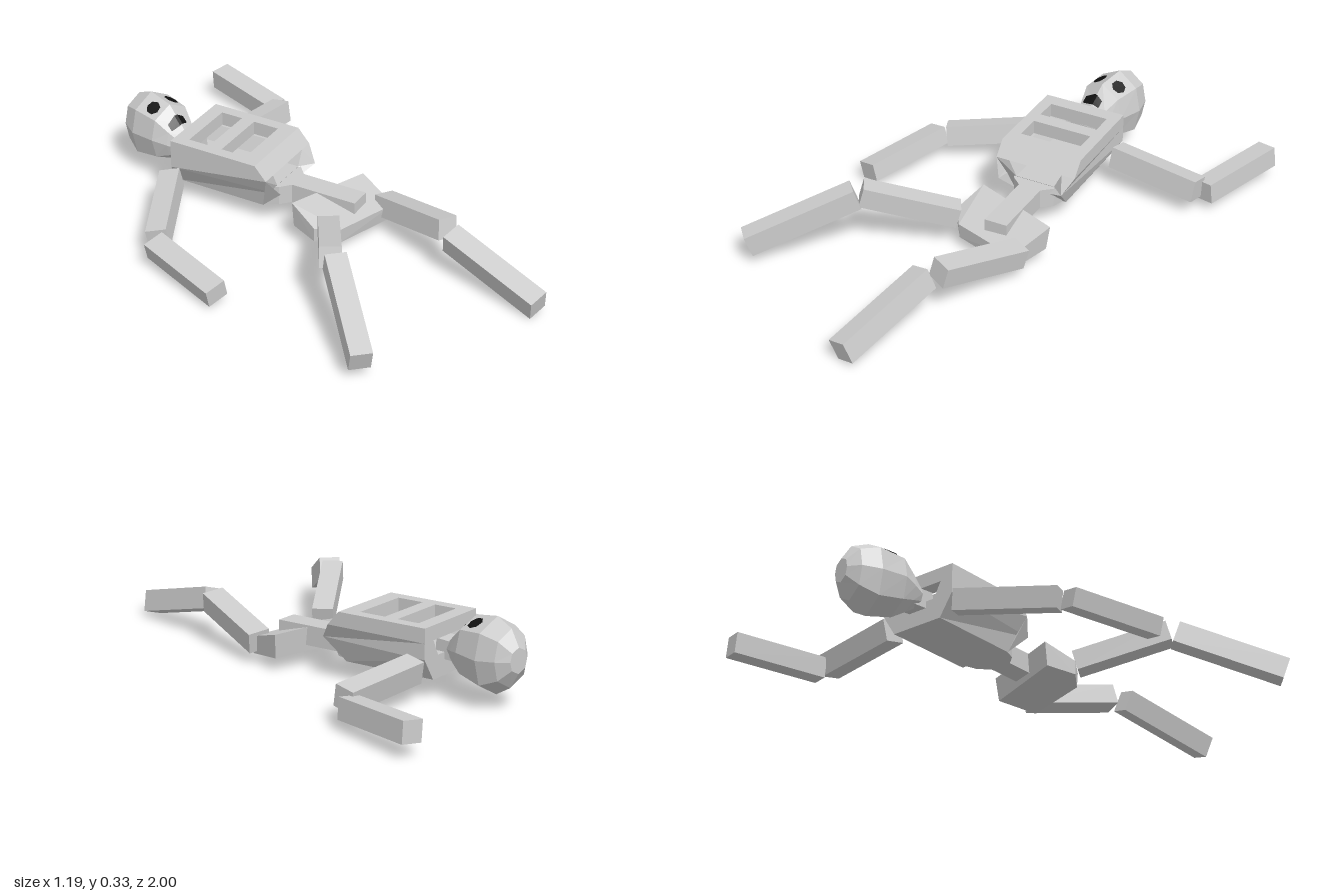
import * as THREE from 'three';
import { ConvexGeometry } from 'three/addons/geometries/ConvexGeometry.js';

const bone = new THREE.MeshStandardMaterial({ color: 0xcccccc, flatShading: true, side: THREE.DoubleSide });
const dark = new THREE.MeshStandardMaterial({ color: 0x111111, flatShading: true, side: THREE.DoubleSide });

function part(name, geometry, material = bone) {
  const mesh = new THREE.Mesh(geometry, material);
  mesh.name = name;
  return mesh;
}

// Square bar running from one point to another
function bar(name, from, to, width, height, roll = 0) {
  const a = new THREE.Vector3(...from), b = new THREE.Vector3(...to);
  const mesh = part(name, new THREE.BoxGeometry(width, height, a.distanceTo(b)));
  mesh.position.copy(a).add(b).multiplyScalar(0.5);
  mesh.lookAt(b);
  mesh.rotateZ(roll);
  return mesh;
}

function polygon(points) {
  return new THREE.Shape(points.map(([x, y]) => new THREE.Vector2(x, y)));
}

// Move every vertex by a rule
function reshape(geometry, rule) {
  const p = geometry.attributes.position, v = new THREE.Vector3();
  for (let i = 0; i < p.count; i++) {
    rule(v.fromBufferAttribute(p, i));
    p.setXYZ(i, v.x, v.y, v.z);
  }
  geometry.computeVertexNormals();
  return geometry;
}

// Hollow ribcage with a slotted front plate; local z runs from neck to waist
function makeTorso() {
  const torso = new THREE.Group();
  torso.name = 'torso';

  const section = polygon([[-0.165, 0.225], [-0.165, 0.165], [-0.11, 0.08], [0.11, 0.08], [0.165, 0.165],
    [0.165, 0.225], [0.11, 0.225], [0.08, 0.165], [-0.08, 0.165], [-0.11, 0.225]]);
  const shell = new THREE.ExtrudeGeometry(section, { depth: 0.42, bevelEnabled: false });
  torso.add(part('ribcageShell', reshape(shell, v => {
    const waist = v.z > 0.2;
    if (!waist) { v.z = -0.187; return; }
    if (v.y > 0.2) v.z = 0.235;
    else if (v.y < 0.1) v.z = 0.19;
    else if (Math.abs(v.x) < 0.1) v.z = 0.235;
    else { v.z = 0.28; v.x *= 0.8; }
  })));

  const plate = polygon([[-0.165, -0.187], [0.165, -0.187], [0.165, 0.187], [-0.165, 0.187]]);
  for (const [low, high] of [[0.04, 0.13], [-0.122, -0.015]]) {
    plate.holes.push(polygon([[-0.12, low], [-0.12, high], [0.12, high], [0.12, low]]));
  }
  const front = new THREE.ExtrudeGeometry(plate, { depth: 0.055, bevelEnabled: false });
  front.rotateX(-Math.PI / 2).translate(0, 0.225, 0);
  torso.add(part('ribcageFront', reshape(front, v => {
    if (v.z > 0.18 && v.y < 0.25) v.z = 0.235;
  })));

  // Lower spine, flared where it meets the ribs
  const spine = polygon([[-0.1, -0.2], [0.1, -0.2], [0.085, -0.245], [0.045, -0.28], [0.045, -0.55],
    [-0.045, -0.55], [-0.045, -0.28], [-0.085, -0.245]]);
  const spineGeometry = new THREE.ExtrudeGeometry(spine, { depth: 0.077, bevelEnabled: false });
  torso.add(part('lowerSpine', spineGeometry.rotateX(-Math.PI / 2).translate(0, 0.086, 0)));

  torso.position.set(0.03, 0, -0.375);
  torso.rotation.y = 0.25;
  return torso;
}

// Skull rings from chin to crown: z, half width, top, bottom
const RINGS = [[-0.575, 0.05, 0.215, 0.14], [-0.62, 0.075, 0.262, 0.11], [-0.675, 0.1, 0.318, 0.075],
  [-0.78, 0.107, 0.335, 0.05], [-0.85, 0.08, 0.305, 0.09], [-0.888, 0.04, 0.245, 0.15]];
const OUTLINE = [[0, 1], [0.8, 0.66], [1, 0], [0.8, -0.66], [0, -1], [-0.8, -0.66], [-1, 0], [-0.8, 0.66]];
const HEAD_X = -0.03;

// Height of the face surface at a point
function faceHeight(x, z) {
  let i = 0;
  while (i < RINGS.length - 2 && z < RINGS[i + 1][0]) i++;
  const t = (z - RINGS[i][0]) / (RINGS[i + 1][0] - RINGS[i][0]);
  const [, w, top, bottom] = RINGS[i].map((value, k) => THREE.MathUtils.lerp(value, RINGS[i + 1][k], t));
  const fall = 0.34 * Math.abs(x - HEAD_X) / (0.8 * w);
  return (top + bottom) / 2 + (1 - fall) * (top - bottom) / 2;
}

function makeHead() {
  const head = new THREE.Group();
  head.name = 'head';
  const n = OUTLINE.length, last = (RINGS.length - 1) * n;
  const positions = [], index = [];
  RINGS.forEach(([z, w, top, bottom], i) => OUTLINE.forEach(([u, v], j) => {
    positions.push(HEAD_X + u * w, (top + bottom) / 2 + v * (top - bottom) / 2, z);
    if (i === RINGS.length - 1) return;
    const a = i * n + j, b = i * n + (j + 1) % n;
    index.push(a, b, a + n, b, b + n, a + n);
  }));
  for (let j = 1; j < n - 1; j++) index.push(0, j + 1, j, last, last + j, last + j + 1);
  const skull = new THREE.BufferGeometry();
  skull.setAttribute('position', new THREE.Float32BufferAttribute(positions, 3));
  skull.setIndex(index);
  skull.computeVertexNormals();
  head.add(part('skull', skull));

  // Dark eye and mouth patches laid on the face
  const drape = (geometry, x, z) => reshape(geometry.rotateX(-Math.PI / 2).translate(x, 0, z), v => {
    v.y = faceHeight(v.x, v.z) + 0.005;
  });
  for (const side of [-1, 1]) {
    const eye = new THREE.CircleGeometry(0.029, 7).scale(0.9, 1, 1);
    head.add(part(side > 0 ? 'leftEye' : 'rightEye', drape(eye, HEAD_X + side * 0.047, -0.718), dark));
  }
  const mouth = reshape(new THREE.PlaneGeometry(0.08, 0.032, 6, 3), v => { v.y *= 1 - Math.abs(v.x) * 8; });
  head.add(part('mouth', drape(mouth, HEAD_X - 0.008, -0.625), dark));
  return head;
}

export function createModel() {
  const model = new THREE.Group();
  model.name = 'lyingSkeleton';
  model.add(makeTorso(), makeHead());
  model.add(bar('neck', [-0.03, 0.17, -0.62], [-0.012, 0.175, -0.52], 0.08, 0.07));

  // Pelvis wedge
  const corners = [[-0.04, 0.165, 0], [0.32, 0.15, 0.03], [-0.04, 0.07, 0.01], [0.31, 0.055, 0.04],
    [-0.055, 0.115, 0.13], [-0.055, 0.06, 0.13], [0.02, 0.11, 0.2], [0.02, 0.05, 0.195],
    [0.295, 0.1, 0.21], [0.29, 0.035, 0.2]];
  model.add(part('pelvis', new ConvexGeometry(corners.map(c => new THREE.Vector3(...c)))));

  // Limbs: name, start, end, width, height, roll
  const limbs = [
    ['rightUpperArm', [-0.185, 0.125, -0.505], [-0.48, 0.09, -0.265], 0.08, 0.08, 0.2],
    ['rightForearm', [-0.51, 0.085, -0.25], [-0.545, 0.06, 0.115], 0.085, 0.07, 0.25],
    ['leftUpperArm', [0.15, 0.125, -0.55], [0.515, 0.1, -0.6], 0.08, 0.085, -0.2],
    ['leftForearm', [0.52, 0.08, -0.63], [0.55, 0.095, -0.995], 0.08, 0.08, -0.1],
    ['rightThigh', [-0.015, 0.125, 0.165], [-0.27, 0.225, 0.415], 0.08, 0.08, 0],
    ['rightShin', [-0.275, 0.225, 0.44], [-0.505, 0.08, 0.78], 0.08, 0.085, 0],
    ['leftThigh', [0.29, 0.09, 0.165], [0.235, 0.165, 0.53], 0.085, 0.08, -0.15],
    ['leftShin', [0.205, 0.155, 0.57], [0.205, 0.055, 0.985], 0.08, 0.085, 0.28],
  ];
  for (const limb of limbs) model.add(bar(...limb));
  return model;
}
